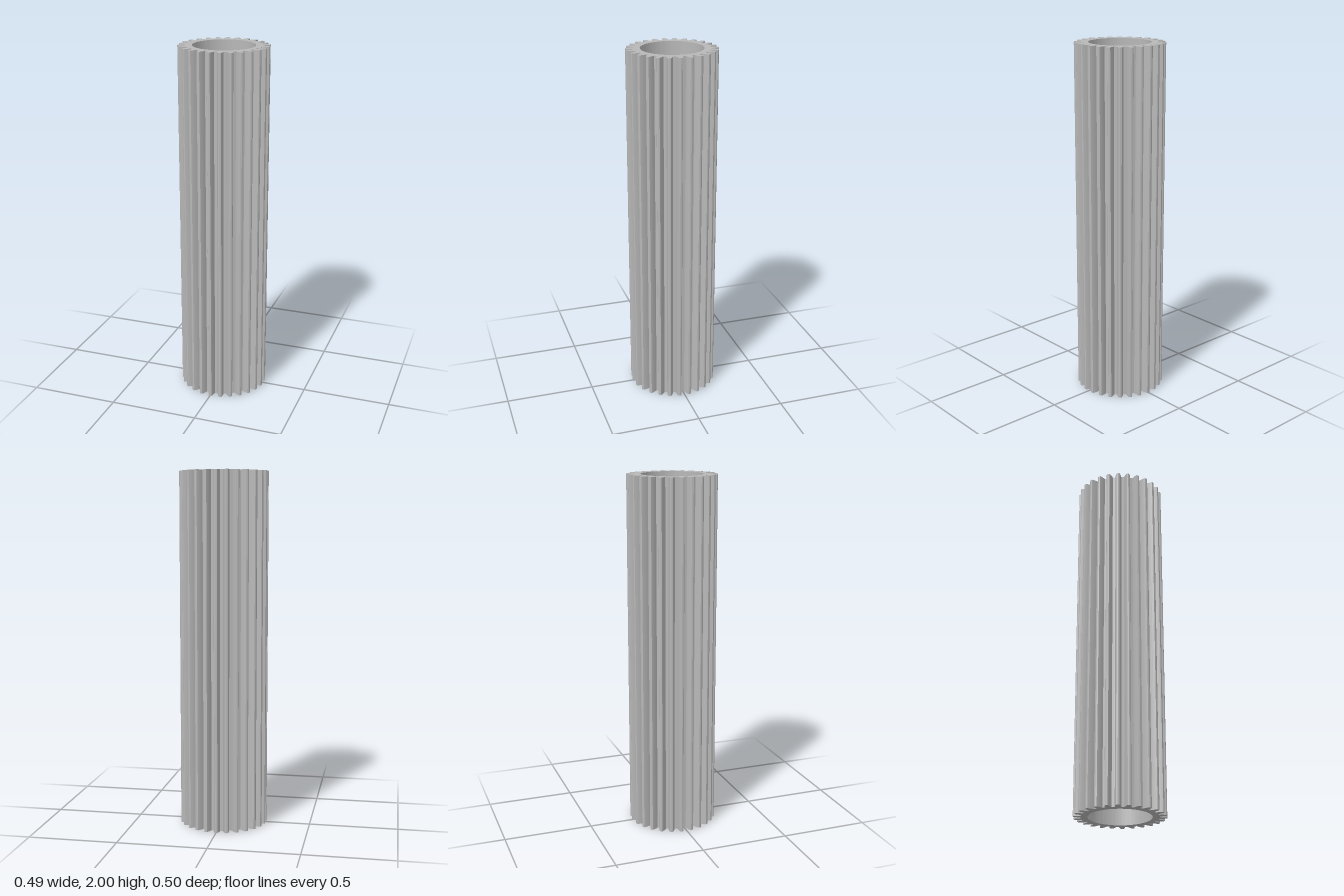
import * as THREE from 'three';
import { toCreasedNormals } from 'three/addons/utils/BufferGeometryUtils.js';

const TEETH = 26;
const LENGTH = 2;
const BORE = 0.171;

// One tooth flank: [radius, half width], from root to tip
const FLANK = [
  [0.208, 0.0172],
  [0.219, 0.0161],
  [0.23, 0.0139],
  [0.24, 0.0111],
  [0.247, 0.0083],
];
const TIP = [0.249, 0];

// Gear outline, with a tooth centred on +y and the bore as a hole
function gearShape() {
  const rightFlank = FLANK.map(([r, w]) => [r, -w]);
  const leftFlank = [...FLANK].reverse();
  const tooth = [...rightFlank, TIP, ...leftFlank];
  const points = [];
  for (let i = 0; i < TEETH; i++) {
    const centre = Math.PI / 2 + (i / TEETH) * Math.PI * 2;
    for (const [r, w] of tooth) {
      const a = centre + w / r;
      points.push(new THREE.Vector2(r * Math.cos(a), r * Math.sin(a)));
    }
  }
  const shape = new THREE.Shape(points);
  shape.holes.push(new THREE.Path().absarc(0, 0, BORE, 0, Math.PI * 2, true));
  return shape;
}

export function createModel() {
  const steel = new THREE.MeshStandardMaterial({ color: 0xb8b8b8 });
  steel.name = 'steel grey';

  // Extrude the outline upwards; keep tooth edges sharp and the bore smooth
  let geometry = new THREE.ExtrudeGeometry(gearShape(), {
    depth: LENGTH,
    bevelEnabled: false,
    curveSegments: 72,
  });
  geometry.rotateX(-Math.PI / 2);
  geometry = toCreasedNormals(geometry, 0.3);

  const pinion = new THREE.Mesh(geometry, steel);
  pinion.name = 'toothedTube';

  const group = new THREE.Group();
  group.name = 'pinionStock';
  group.add(pinion);
  return group;
}
